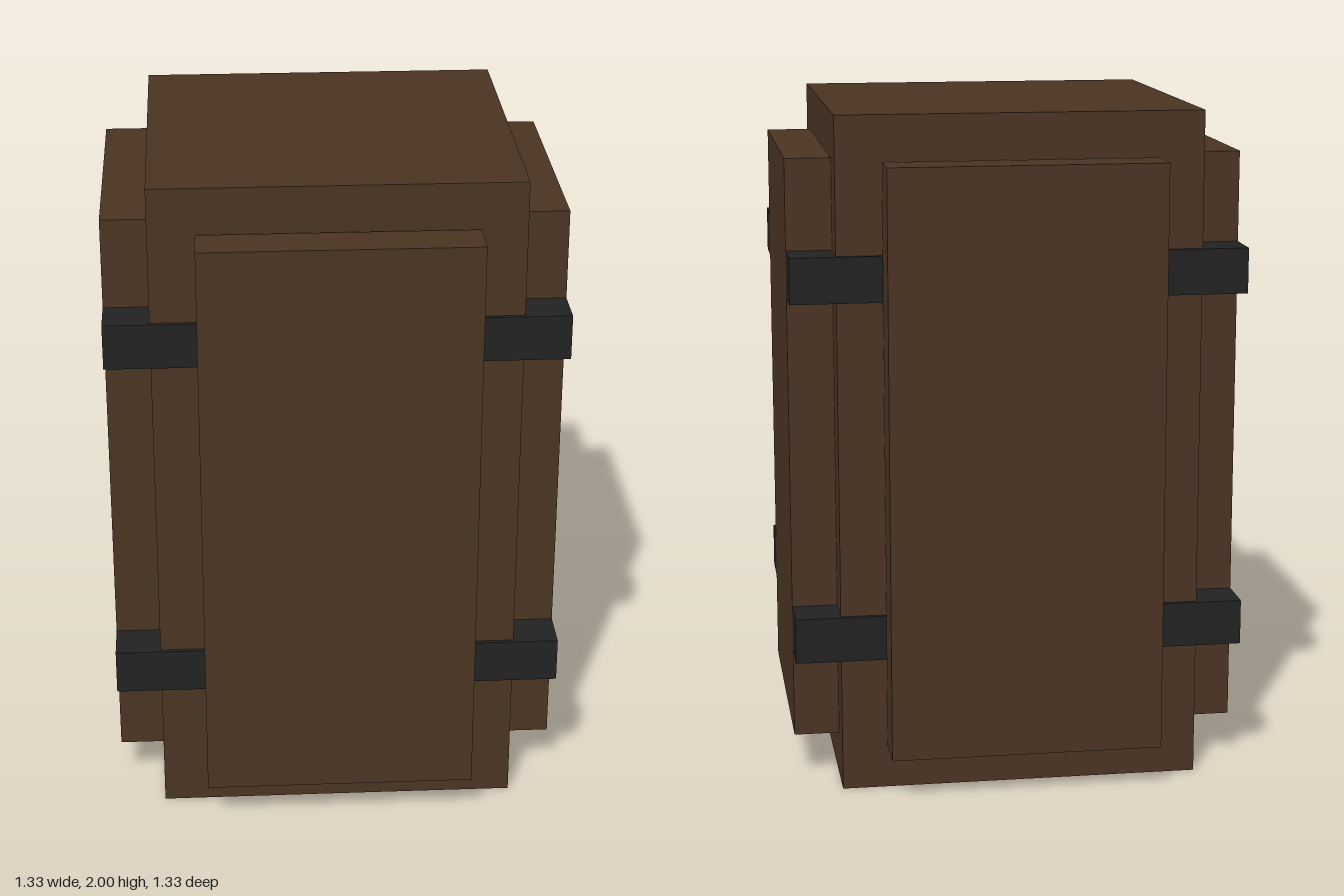
import * as THREE from 'three';

export function createModel() {
  const model = new THREE.Group();
  model.name = 'strappedCrate';

  const wood = new THREE.MeshStandardMaterial({ color: 0x4a3423 });
  wood.name = 'dark brown wood';
  const iron = new THREE.MeshStandardMaterial({ color: 0x222222 });
  iron.name = 'black iron';

  const addBox = (name, material, size, position) => {
    const mesh = new THREE.Mesh(new THREE.BoxGeometry(...size), material);
    mesh.name = name;
    mesh.position.set(...position);
    model.add(mesh);
  };

  // Main upright block, slightly shallower than it is wide
  addBox('body', wood, [1.066, 2, 1.042], [0, 1, 0]);

  for (const side of [-1, 1]) {
    // Raised panels: side ones touch the body, front and back ones sit on the straps
    addBox(side > 0 ? 'leftPanel' : 'rightPanel', wood, [0.134, 1.734, 0.8], [side * 0.6, 1, 0]);
    addBox(side > 0 ? 'frontPanel' : 'backPanel', wood, [0.8, 1.734, 0.134], [0, 1, side * 0.6]);

    // Horizontal straps across the front and back, reaching past the corners
    for (const y of [0.467, 1.533]) {
      const level = y < 1 ? 'lower' : 'upper';
      addBox(level + (side > 0 ? 'FrontStrap' : 'BackStrap'), iron,
        [1.334, 0.134, 0.133], [0, y, side * 0.4665]);
    }
  }

  return model;
}
